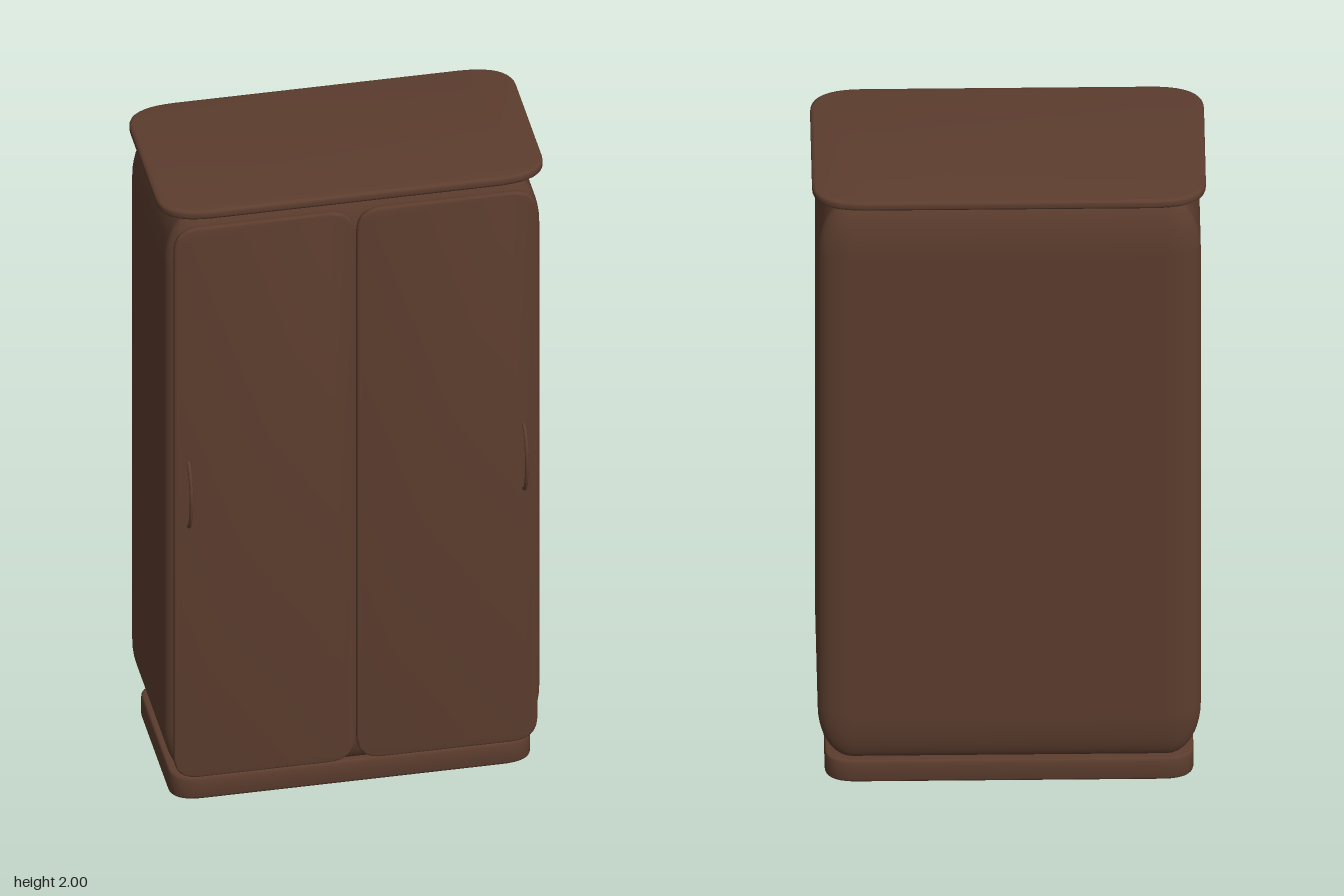
import * as THREE from 'three';
import { RoundedBoxGeometry } from 'three/addons/geometries/RoundedBoxGeometry.js';
import { toCreasedNormals } from 'three/addons/utils/BufferGeometryUtils.js';

const wood = new THREE.MeshStandardMaterial({ color: 0x5c3d2e });
wood.name = 'darkBrownWood';

// Rounded rectangle w x h (corner reach rx, ry), extruded along z from 0 to depth with a soft edge
function roundedSlab(w, h, rx, ry, depth, bevel) {
  const x = w / 2, y = h / 2;
  const s = new THREE.Shape();
  s.moveTo(-x + rx, -y);
  s.lineTo(x - rx, -y);
  s.quadraticCurveTo(x, -y, x, -y + ry);
  s.lineTo(x, y - ry);
  s.quadraticCurveTo(x, y, x - rx, y);
  s.lineTo(-x + rx, y);
  s.quadraticCurveTo(-x, y, -x, y - ry);
  s.lineTo(-x, -y + ry);
  s.quadraticCurveTo(-x, -y, -x + rx, -y);
  const g = new THREE.ExtrudeGeometry(s, {
    depth: depth - 2 * bevel, bevelThickness: bevel, bevelSize: bevel,
    bevelOffset: -bevel, bevelSegments: 3, curveSegments: 10,
  });
  g.translate(0, 0, bevel);
  return toCreasedNormals(g, 0.7);
}

export function createModel() {
  const model = new THREE.Group();
  model.name = 'wardrobe';
  const add = (name, geometry, x = 0, y = 0, z = 0) => {
    const mesh = new THREE.Mesh(geometry, wood);
    mesh.name = name;
    mesh.position.set(x, y, z);
    model.add(mesh);
    return mesh;
  };

  // Cabinet body: a rounded cube stretched to size, so its rounding stretches too
  const body = new RoundedBoxGeometry(1, 1, 1, 6, 0.09);
  body.scale(1.07, 1.9, 0.535);
  add('body', body, 0, 1.023, -0.03);

  // Horizontal slabs: plinth below, lid above
  const plinth = roundedSlab(1.03, 0.495, 0.09, 0.065, 0.073, 0.008).rotateX(-Math.PI / 2);
  add('plinth', plinth, 0, 0, -0.0325);
  const lid = roundedSlab(1.1, 0.558, 0.15, 0.1, 0.029, 0.009).rotateX(-Math.PI / 2);
  add('lid', lid, 0, 1.971, -0.0265);

  // Bowed pull handle, in the y-z plane
  const bow = new THREE.CatmullRomCurve3([
    [0.95, 0.246], [0.957, 0.267], [0.985, 0.285], [1.02, 0.296], [1.058, 0.3],
    [1.096, 0.296], [1.131, 0.285], [1.158, 0.267], [1.165, 0.246],
  ].map(([y, z]) => new THREE.Vector3(0, y, z)));

  // Two doors, each with its handle near the outer edge
  for (const [side, name] of [[1, 'left'], [-1, 'right']]) {
    add(name + 'Door', roundedSlab(0.515, 1.845, 0.075, 0.075, 0.019, 0.006),
      side * 0.2605, 1.0225, 0.235);
    add(name + 'Handle', new THREE.TubeGeometry(bow, 32, 0.0055, 8), side * 0.478);
  }
  return model;
}
